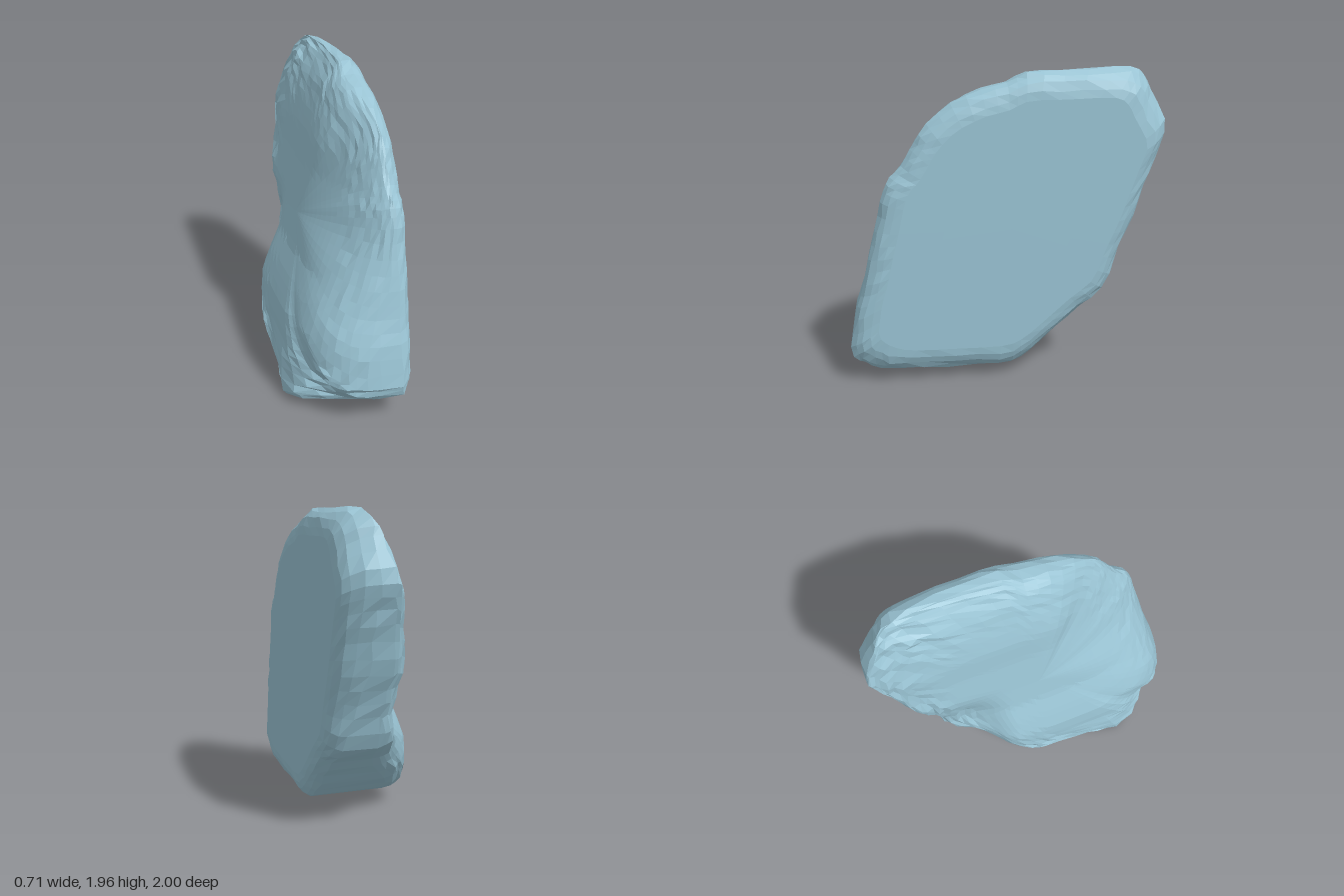
import * as THREE from 'three';

const V2 = (a) => new THREE.Vector2(a[0], a[1]);
const { smoothstep: smooth, lerp } = THREE.MathUtils;

// Outline of the slab in its broad plane, as [z, y], from the front edge over the top
const OUTLINE = [
  [1.0, 0.25], [0.97, 0.45], [0.92, 0.62], [0.88, 0.8], [0.83, 1.0], [0.785, 1.2], [0.74, 1.31],
  [0.67, 1.39], [0.6, 1.5], [0.54, 1.6], [0.4, 1.74], [0.2, 1.835], [0.02, 1.88], [-0.12, 1.94], [-0.4, 1.945],
  [-0.73, 1.95], [-0.84, 1.9], [-0.9, 1.79], [-1.0, 1.6], [-0.95, 1.43], [-0.88, 1.23], [-0.8, 1.0],
  [-0.71, 0.8], [-0.62, 0.57], [-0.45, 0.43], [-0.28, 0.28], [-0.1, 0.13], [0.05, 0.07],
  [0.4, 0.07], [0.75, 0.08], [0.9, 0.12], [0.98, 0.18],
];

// Left side of the wedge: [y, x], thick at the foot and thin at the top
const WEDGE = [
  [0, -0.35], [0.1, -0.34], [0.3, -0.32], [0.5, -0.29], [0.65, -0.23], [0.8, -0.16], [1.0, -0.11],
  [1.3, -0.04], [1.5, -0.01], [1.6, 0.02], [1.8, 0.09], [1.95, 0.19], [2, 0.22],
];

function wedgeX(y) {
  for (let i = 1; i < WEDGE.length; i++) {
    const [y0, x0] = WEDGE[i - 1], [y1, x1] = WEDGE[i];
    if (y <= y1) return x0 + ((x1 - x0) * Math.max(0, y - y0)) / (y1 - y0);
  }
  return 0.22;
}

function seeded(seed) {
  return () => {
    seed = (seed * 16807) % 2147483647;
    return seed / 2147483647 - 0.5;
  };
}

// Bell-shaped bump of a given centre and width
const bell = (v, centre, width) => Math.exp(-(((v - centre) / width) ** 2));

const FACE_X = 0.362, MID_Y = 1.0, SEGMENTS = 72;
// The widest line of the edge lies further left along the back
const rimX = (o) => lerp(0.27, 0.16, smooth(-o.x, 0.5, 0.9));
// Rings on the flat right face and its bevel: [scale, share of the way from rim to face]
const FACE = [[0, 1], [0.5, 1], [0.83, 1], [0.885, 0.92], [0.935, 0.74], [0.975, 0.42]];
// Ring scales from the rim inward over the sloping left side
const BACK = [
  1, 0.997, 0.99, 0.975, 0.955, 0.93, 0.9, 0.86, 0.82, 0.77, 0.72, 0.66, 0.6,
  0.54, 0.48, 0.42, 0.36, 0.3, 0.24, 0.18, 0.12, 0.06, 0,
];

// Point on the sloping left side for one outline point at one scale
function leftPoint(o, s) {
  const z = o.x * s;
  let y = MID_Y + (o.y - MID_Y) * s;
  // Edge roundness: long slope at the upper front, fuller below, crisp under the foot
  const up = smooth(o.y, 0.45, 1.25);
  const front = smooth(o.x, lerp(0.5, -0.1, up), lerp(0.92, 0.5, up));
  const foot = 1 - smooth(o.y, 0.08, 0.4);
  const n = lerp(lerp(7, 14, foot), lerp(3.3, 1.7, up), front);
  const depth = Math.pow(Math.max(0, 1 - Math.pow(s, n)), 1 / n);
  // Scooped-out hollow low at the back
  const hollow = 0.13 * smooth(-z, 0.2, 0.5) * (1 - smooth(y, 0.65, 1.1));
  let x = rimX(o) + (wedgeX(y) + hollow - rimX(o)) * depth;
  // Lumps under the foot, a large one at the left and a small one near the rim
  const low = 1 - smooth(y, 0.07, 0.26);
  const lump = bell(z, 0.54, 0.2) * low * depth;
  const knob = bell(z, 0.7, 0.14) * low * bell(x, 0.18, 0.06);
  x -= 0.06 * lump;
  y -= 0.11 * lump + 0.04 * knob;
  return [x, y, z];
}

function slabGeometry() {
  const curve = new THREE.SplineCurve([...OUTLINE, OUTLINE[0]].map(V2));
  const outline = curve.getPoints(SEGMENTS).slice(0, SEGMENTS);
  const rand = seeded(41);
  const pos = [], index = [];

  // Flat face and bevel on the right
  for (const [s, t] of FACE) {
    const rough = s > 0.85 ? 0.018 : 0;
    for (const o of outline) {
      const k = s + rand() * rough;
      pos.push(lerp(rimX(o), FACE_X, t) + rand() * rough * 0.4, MID_Y + (o.y - MID_Y) * k, o.x * k);
    }
  }
  // Left side, chipped near the rim, at the foot and down the back, calm in the middle
  for (const s of BACK) {
    for (const o of outline) {
      const [x, y, z] = leftPoint(o, s);
      const chipped = y < 0.35 || o.x < -0.5 ? 0.028 : 0.012;
      const rough = chipped * smooth(s, 0.55, 0.9);
      pos.push(x + rand() * rough, Math.max(0, y + rand() * rough * 0.6), z + rand() * rough * 0.6);
    }
  }

  const rings = FACE.length + BACK.length;
  for (let r = 0; r < rings - 1; r++) {
    for (let i = 0; i < SEGMENTS; i++) {
      const j = (i + 1) % SEGMENTS;
      const a = r * SEGMENTS + i, b = r * SEGMENTS + j;
      const c = a + SEGMENTS, d = b + SEGMENTS;
      if (r > 0) index.push(a, b, c);
      if (r < rings - 2) index.push(b, d, c);
    }
  }
  const g = new THREE.BufferGeometry();
  g.setAttribute('position', new THREE.Float32BufferAttribute(pos, 3));
  g.setIndex(index);
  g.computeVertexNormals();
  return g;
}

export function createModel() {
  const group = new THREE.Group();
  group.name = 'rock';
  const stone = new THREE.MeshStandardMaterial({ color: 0x9ac4d4, flatShading: true });
  const slab = new THREE.Mesh(slabGeometry(), stone);
  slab.name = 'rockSlab';
  group.add(slab);
  return group;
}
